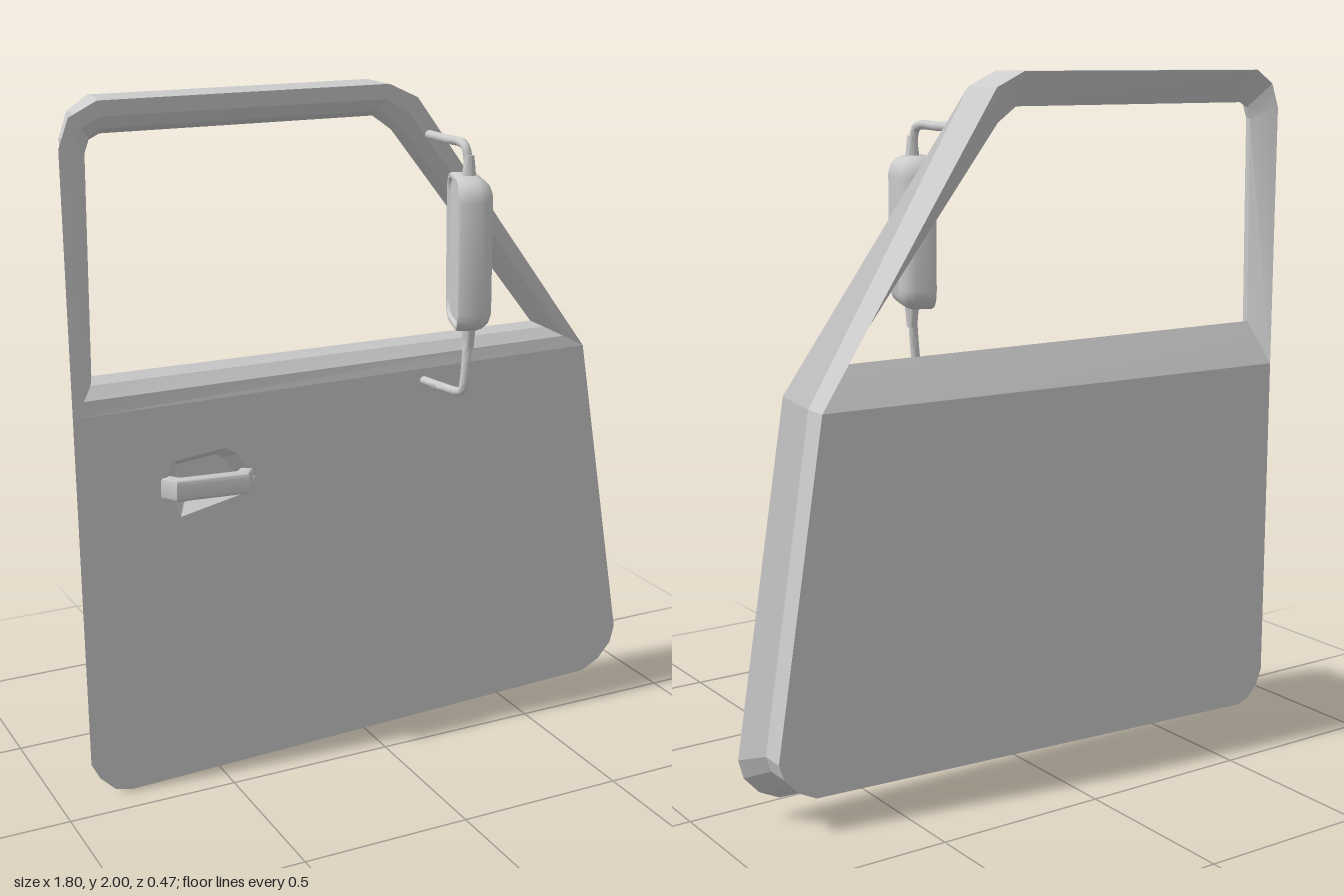
import * as THREE from 'three';
import { toCreasedNormals } from 'three/addons/utils/BufferGeometryUtils.js';

const material = new THREE.MeshStandardMaterial({ color: 0xcccccc });
const at = (pts, z) => pts.map(([x, y]) => [x, y, z]);
const lerp = (a, b, t) => a.map((p, i) => p.map((v, k) => v + (b[i][k] - v) * t));

function mesh(name, geometry, crease = 0.3) {
  const m = new THREE.Mesh(toCreasedNormals(geometry, crease), material);
  m.name = name;
  return m;
}

// Skin between closed rings of equal point count; optional flat end caps
function loft(rings, capStart = false, capEnd = false) {
  const n = rings[0].length, index = [];
  for (let r = 0; r < rings.length - 1; r++) {
    for (let j = 0; j < n; j++) {
      const k = (j + 1) % n, a = r * n, b = a + n;
      index.push(a + j, a + k, b + k, a + j, b + k, b + j);
    }
  }
  const last = (rings.length - 1) * n;
  for (let j = 1; j < n - 1; j++) {
    if (capStart) index.push(0, j + 1, j);
    if (capEnd) index.push(last, last + j, last + j + 1);
  }
  const g = new THREE.BufferGeometry();
  g.setAttribute('position', new THREE.Float32BufferAttribute(rings.flat(2), 3));
  g.setIndex(index);
  return g;
}

function flatPanel(pts, z, hole, facesBack) {
  const v = (list) => list.map(([x, y]) => new THREE.Vector2(x, y));
  const shape = new THREE.Shape(v(pts));
  if (hole) shape.holes.push(new THREE.Path(v(hole)));
  const g = new THREE.ShapeGeometry(shape);
  g.deleteAttribute('uv');
  if (facesBack) {
    g.setIndex(Array.from(g.index.array).reverse());
    g.computeVertexNormals();
  }
  return g.translate(0, 0, z);
}

function roundedRect(w, h, r, inset, z) {
  const pts = [], steps = 5, rr = r - inset;
  [[1, 1], [-1, 1], [-1, -1], [1, -1]].forEach(([sx, sy], q) => {
    for (let i = 0; i <= steps; i++) {
      const a = (q + i / steps) * Math.PI / 2;
      pts.push([sx * (w / 2 - r) + rr * Math.cos(a), sy * (h / 2 - r) + rr * Math.sin(a), z]);
    }
  });
  return pts;
}

function arm(name, pts) {
  const path = new THREE.CatmullRomCurve3(pts.map((p) => new THREE.Vector3(...p)), false, 'centripetal');
  return mesh(name, new THREE.TubeGeometry(path, 48, 0.013, 10), 0.8);
}

export function createModel() {
  const door = new THREE.Group();
  door.name = 'vehicleDoor';
  const front = -0.10, step = -0.165, back = -0.24;

  // Outlines run counter-clockwise as seen from the front
  const lowerFront = [[-0.9, 0.11], [-0.875, 0.06], [-0.83, 0.015], [-0.78, 0.003],
    [0.78, 0.055], [0.84, 0.085], [0.885, 0.135], [0.9, 0.19]];
  const lowerBack = [[-0.855, 0.14], [-0.835, 0.09], [-0.8, 0.055], [-0.76, 0.042],
    [0.74, 0.092], [0.795, 0.12], [0.835, 0.165], [0.85, 0.21]];
  const frameFront = [[-0.9, 1.15], [0.74, 1.165], [0.155, 1.958], [0.065, 2],
    [-0.79, 2], [-0.87, 1.96], [-0.9, 1.88]];
  const frameBack = [[-0.855, 1.12], [0.7, 1.135], [0.155, 1.958], [0.065, 2],
    [-0.77, 2], [-0.83, 1.96], [-0.855, 1.89]];
  const opening = [[-0.82, 1.245], [0.59, 1.245], [0.105, 1.862], [0.045, 1.905],
    [-0.765, 1.905], [-0.795, 1.89], [-0.808, 1.855]];
  const outline = (low, frame) => [...low, ...frame.slice(1), frame[0]];
  const panel = (low, frame) => [...low, frame[1], frame[0]];

  // Handle recess, a shallow bowl in the outer skin
  const recess = [[-0.6, 0.82], [-0.385, 0.865], [-0.37, 0.91], [-0.425, 0.985],
    [-0.46, 1.005], [-0.62, 0.987], [-0.645, 0.93]];
  const floor = recess.map(([x, y]) => [-0.52 + (x + 0.52) * 0.7, 0.92 + (y - 0.92) * 0.7]);

  door.add(
    mesh('outerPanel', flatPanel(panel(lowerFront, frameFront), front, recess)),
    mesh('innerPanel', flatPanel(panel(lowerBack, frameBack), back, null, true)),
    mesh('windowFrame', loft([
      at(frameFront, front),
      at(lerp(frameFront, opening, 0.45), -0.108),
      at(lerp(frameFront, opening, 0.82), -0.135),
      at(opening, -0.17),
      at(frameBack, back),
    ])),
    mesh('doorEdge', loft([
      at(outline(lowerBack, frameBack), back),
      at(outline(lowerBack, frameBack), step),
      at(outline(lowerFront, frameFront), front),
    ])),
    mesh('handleRecess', loft([at(recess, front), at(floor, -0.135)], false, true)),
  );

  // Door handle: an arched grip, drawn in plan and extruded downwards
  const grip = new THREE.Shape([[-0.655, -0.11], [-0.62, -0.067], [-0.41, -0.067], [-0.375, -0.11],
    [-0.405, -0.11], [-0.425, -0.086], [-0.605, -0.086], [-0.625, -0.11]]
    .map(([x, z]) => new THREE.Vector2(x, z)));
  const gripGeometry = new THREE.ExtrudeGeometry(grip, {
    depth: 0.04, bevelEnabled: true, bevelThickness: 0.012, bevelSize: 0.01, bevelSegments: 3,
  }).rotateX(Math.PI / 2);
  const handle = mesh('doorHandle', gripGeometry, 0.6);
  handle.position.set(-0.52, 0.927, 0);
  handle.geometry.translate(0.52, 0, 0);
  handle.rotation.z = -0.04;
  door.add(handle);

  // Mirror: recessed glass on the rear side, rounded housing on the other
  const mirror = new THREE.Group();
  mirror.name = 'sideMirror';
  const rings = [[0.022, 0.008], [0.014, 0], [0.004, 0], [0, 0.006], [0, 0.058],
    [0.006, 0.076], [0.02, 0.092], [0.04, 0.1]]
    .map(([inset, z]) => roundedRect(0.225, 0.43, 0.06, inset, z));
  const housing = mesh('mirrorHousing', loft(rings, true, true), 0.7);
  housing.position.set(0.16, 1.55, 0.1);
  housing.rotation.y = 1.22;
  mirror.add(housing);

  // Bent arms with tapered sockets where they enter the housing
  mirror.add(
    arm('upperMirrorArm', [[0.195, 1.85, -0.13], [0.195, 1.85, 0], [0.195, 1.85, 0.085],
      [0.195, 1.842, 0.105], [0.196, 1.825, 0.113], [0.2, 1.75, 0.12]]),
    arm('lowerMirrorArm', [[0.18, 1.122, -0.12], [0.18, 1.132, 0.02], [0.18, 1.142, 0.11],
      [0.181, 1.15, 0.128], [0.183, 1.17, 0.134], [0.2, 1.35, 0.13]]),
  );
  [[1.78, 0.014, 0.022, 0.2, 0.118], [1.315, 0.022, 0.015, 0.198, 0.131]].forEach(([y, top, bottom, x, z]) => {
    const socket = mesh('mirrorSocket', new THREE.CylinderGeometry(top, bottom, 0.08, 12), 0.8);
    socket.position.set(x, y, z);
    mirror.add(socket);
  });
  door.add(mirror);

  return door;
}
